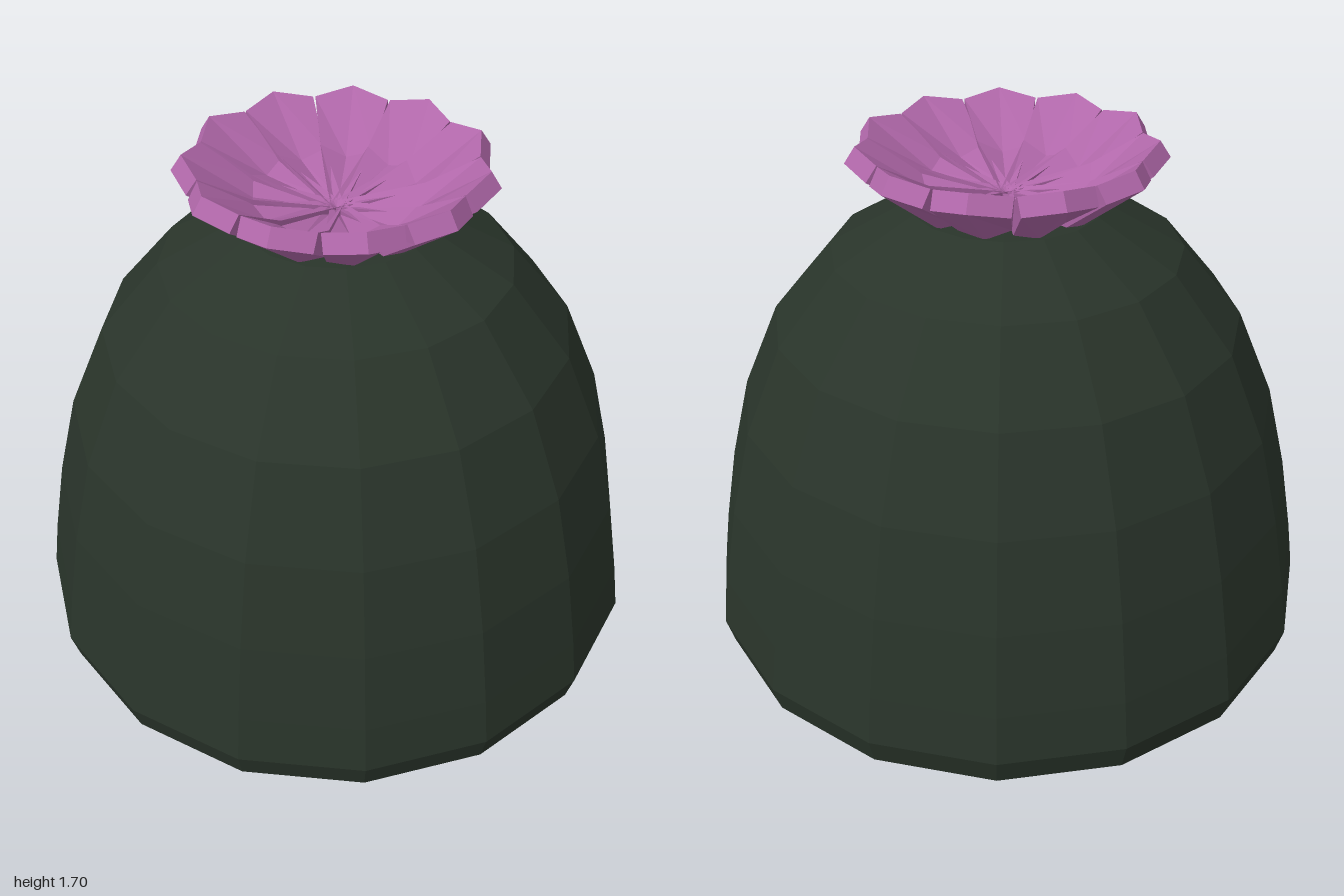
import * as THREE from 'three';

const bodyGreen = new THREE.MeshStandardMaterial({ color: 0x29342a, flatShading: true });
bodyGreen.name = 'dark cactus green';
const petalPurple = new THREE.MeshStandardMaterial({ color: 0xb067a9, flatShading: true });
petalPurple.name = 'petal purple';

// Cupped, thick petal pointing along +z: a 3 x 3 grid above, one below, walls between
function petalGeometry() {
  // left, spine and right of each row: [half width, edge z, edge y, spine z, spine y]
  const rows = [
    [0.02, 0.0, 1.53, 0.0, 1.515],
    [0.08, 0.25, 1.585, 0.25, 1.555],
    [0.115, 0.405, 1.68, 0.455, 1.70],
  ];
  // underside shift per row: [dz, dy]
  const under = [[0, -0.04], [0.03, -0.07], [0.033, -0.05]];
  const roll = 0.1;
  const pos = [];
  for (const below of [0, 1]) {
    rows.forEach(([w, ez, ey, sz, sy], i) => {
      const dz = below * under[i][0], dy = below * under[i][1];
      const lift = i === 1 ? w * roll : 0;
      pos.push(-w, ey + dy - lift, ez + dz, 0, sy + dy, sz + dz, w, ey + dy + lift, ez + dz);
    });
  }
  const index = [];
  const quad = (a, b, c, d) => index.push(a, b, c, a, c, d);
  for (let i = 0; i < 2; i++) {
    for (let j = 0; j < 2; j++) {
      const a = i * 3 + j, b = a + 3, c = a + 4, d = a + 1;
      quad(a, b, c, d);
      quad(d + 9, c + 9, b + 9, a + 9);
    }
  }
  const rim = [0, 3, 6, 7, 8, 5, 2, 1];
  rim.forEach((p, k) => {
    const q = rim[(k + 1) % rim.length];
    quad(p, p + 9, q + 9, q);
  });
  const g = new THREE.BufferGeometry();
  g.setAttribute('position', new THREE.Float32BufferAttribute(pos, 3));
  g.setIndex(index);
  const flat = g.toNonIndexed();
  flat.computeVertexNormals();
  return flat;
}

export function createModel() {
  const model = new THREE.Group();
  model.name = 'floweringCactus';

  // Faceted dome with a rounded foot
  const profile = [
    [0, 0], [0.55, 0.005], [0.88, 0.02], [0.975, 0.05], [1, 0.14], [0.977, 0.3], [0.93, 0.56],
    [0.86, 0.84], [0.74, 1.12], [0.55, 1.35], [0.3, 1.49], [0, 1.51],
  ].map(([r, y]) => new THREE.Vector2(r, y));
  const body = new THREE.Mesh(new THREE.LatheGeometry(profile, 16), bodyGreen);
  body.name = 'body';
  model.add(body);

  // Ring of petals opening from the crown
  const flower = new THREE.Group();
  flower.name = 'flower';
  const geometry = petalGeometry();
  const count = 11;
  for (let i = 0; i < count; i++) {
    const petal = new THREE.Mesh(geometry, petalPurple);
    petal.name = 'petal';
    petal.rotation.y = Math.PI - 0.02 + (i / count) * Math.PI * 2;
    flower.add(petal);
  }
  model.add(flower);
  return model;
}
